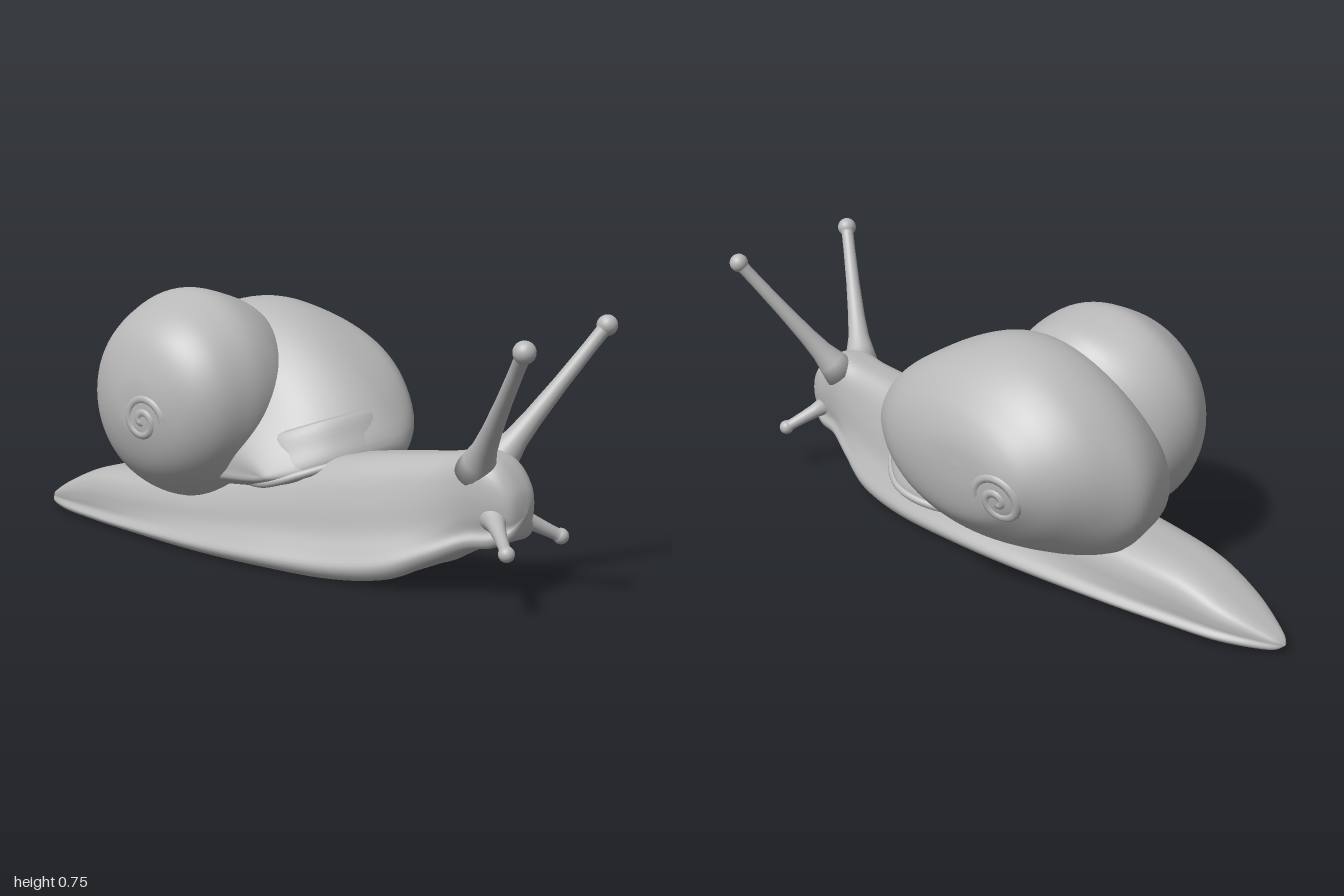
import * as THREE from 'three';

const V = (x, y, z) => new THREE.Vector3(x, y, z);

// Closed smooth skin over equally sized rings of points
function skin(rings) {
  const n = rings[0].length, idx = [];
  const pts = rings.flat();
  for (let i = 0; i < rings.length - 1; i++) {
    for (let j = 0; j < n; j++) {
      const k = (j + 1) % n, a = i * n + j, b = i * n + k, c = a + n, d = b + n;
      idx.push(a, b, c, b, d, c);
    }
  }
  // Turn the faces outward by the sign of the enclosed volume
  let volume = 0;
  for (let i = 0; i < idx.length; i += 3) {
    volume += pts[idx[i]].dot(pts[idx[i + 1]].clone().cross(pts[idx[i + 2]]));
  }
  if (volume < 0) idx.reverse();
  const g = new THREE.BufferGeometry().setFromPoints(pts);
  g.setIndex(idx);
  g.computeVertexNormals();
  return g;
}

// Smoothly interpolate a table of rows, column by column
function smoothRows(rows, steps) {
  const out = Array.from({ length: steps + 1 }, () => []);
  for (let c = 0; c < rows[0].length; c++) {
    const curve = new THREE.SplineCurve(rows.map((r, i) => new THREE.Vector2(i, r[c])));
    for (let i = 0; i <= steps; i++) out[i].push(curve.getPoint(i / steps).y);
  }
  return out;
}

// Shell lobe: the unit outline at each x, scaled to the row [x, zMin, zMax, yMin, yMax]
function lobe(rows, outlineAt) {
  return skin(smoothRows(rows, 72).map(([x, z0, z1, y0, y1]) =>
    outlineAt(x).map((p) => V(x, y0 + (y1 - y0) * p.y, z0 + (z1 - z0) * p.x))));
}

// Body ring from [z, centreX, footHalf, bodyHalf, bottom, rimY, top]
function bodyRing([z, cx, f, m, b, e, t]) {
  const h = t - e;
  const half = [
    [0.45 * f, b], [0.85 * f, b], [f, b + 0.45 * (e - b)], [0.9 * f, e],
    [0.5 * m + 0.46 * f, e + 0.2 * h], [0.8 * m + 0.18 * f, e + 0.5 * h],
    [0.86 * m, e + 0.8 * h], [0.5 * m, e + 0.97 * h],
  ];
  const pts = [[0, b], ...half, [0, t], ...half.map(([x, y]) => [-x, y]).reverse()];
  const curve = new THREE.CatmullRomCurve3(pts.map(([x, y]) => V(cx + x, y, z)), true, 'catmullrom', 0.5);
  return curve.getPoints(72).slice(0, 72);
}

// Flared stalk with a ball tip, lathed along the line from base to tip
function stalk(base, tip, r0, r1, ball) {
  const dir = tip.clone().sub(base), len = dir.length();
  const prof = [[0, 0], [r0, 0.02], [r0 * 0.8, 0.12], [r0 * 0.6, 0.22], [r0 * 0.4 + r1 * 0.25, 0.36], [r1 * 1.12, 0.6], [r1, 0.84]]
    .map(([r, t]) => new THREE.Vector2(r, t * len));
  const start = Math.asin(Math.min(0.9, r1 / ball));
  for (let i = 0; i <= 10; i++) {
    const a = Math.PI - start + (start - Math.PI) * i / 10;
    prof.push(new THREE.Vector2(Math.max(0, ball * Math.sin(a)), len + ball * Math.cos(a)));
  }
  const g = new THREE.LatheGeometry(prof, 24);
  g.applyQuaternion(new THREE.Quaternion().setFromUnitVectors(V(0, 1, 0), dir.normalize()));
  return g.translate(base.x, base.y, base.z);
}

export function createModel() {
  const group = new THREE.Group();
  const grey = new THREE.MeshStandardMaterial({ color: 0xb8b8b8, side: THREE.DoubleSide });
  grey.name = 'plain grey';
  const add = (name, geometry) => {
    const mesh = new THREE.Mesh(geometry, grey);
    mesh.name = name;
    group.add(mesh);
    return mesh;
  };

  // Foot, neck and head
  add('body', skin(smoothRows([
    [-1.0, -0.045, 0, 0, 0.025, 0.025, 0.025],
    [-0.97, -0.045, 0.035, 0.03, 0.012, 0.03, 0.05],
    [-0.85, -0.045, 0.095, 0.085, 0.01, 0.04, 0.11],
    [-0.7, -0.05, 0.13, 0.115, 0.01, 0.045, 0.165],
    [-0.5, -0.055, 0.165, 0.135, 0.01, 0.05, 0.19],
    [-0.2, -0.06, 0.195, 0.14, 0.005, 0.06, 0.22],
    [0.05, -0.06, 0.205, 0.135, 0.005, 0.07, 0.28],
    [0.3, -0.055, 0.19, 0.12, 0.006, 0.08, 0.33],
    [0.48, -0.053, 0.165, 0.1, 0.03, 0.105, 0.355],
    [0.6, -0.05, 0.125, 0.09, 0.085, 0.145, 0.37],
    [0.69, -0.045, 0.09, 0.09, 0.13, 0.18, 0.388],
    [0.76, -0.04, 0.075, 0.084, 0.145, 0.19, 0.365],
    [0.81, -0.04, 0.05, 0.055, 0.175, 0.205, 0.3],
    [0.825, -0.04, 0, 0, 0.235, 0.235, 0.235],
  ], 130).map(bodyRing)));

  // Unit circle, starting at the front and turning upward
  const circle = Array.from({ length: 80 }, (_, i) => {
    const a = i / 40 * Math.PI;
    return new THREE.Vector2(0.5 + 0.5 * Math.cos(a), 0.5 + 0.5 * Math.sin(a));
  });

  // Large shell whorl: long in front where it opens, turning round toward its side
  const sideOutline = new THREE.CatmullRomCurve3([
    [0.32, 0.32], [0.27, 0.43], [0.15, 0.56], [0, 0.66], [-0.15, 0.71], [-0.3, 0.7],
    [-0.45, 0.63], [-0.57, 0.51], [-0.62, 0.38], [-0.6, 0.26], [-0.52, 0.175], [-0.35, 0.16],
    [-0.15, 0.175], [0.1, 0.205], [0.25, 0.25],
  ].map(([z, y]) => V((z + 0.62) / 0.94, (y - 0.16) / 0.55, 0)), true).getSpacedPoints(80).slice(0, 80);
  const largeOutline = (x) => {
    const w = THREE.MathUtils.smoothstep(x, 0.08, 0.36);
    return sideOutline.map((p, i) => new THREE.Vector2(p.x, p.y).lerp(circle[i], w));
  };
  const large = add('largeWhorl', lobe([
    [-0.235, -0.1, 0.06, 0.26, 0.26],
    [-0.23, -0.2, 0.1, 0.23, 0.32],
    [-0.18, -0.42, 0.18, 0.2, 0.44],
    [-0.1, -0.55, 0.25, 0.17, 0.59],
    [0.0, -0.605, 0.3, 0.165, 0.682],
    [0.1, -0.625, 0.315, 0.16, 0.71],
    [0.2, -0.59, 0.27, 0.16, 0.7],
    [0.28, -0.53, 0.19, 0.185, 0.655],
    [0.34, -0.46, 0.1, 0.24, 0.59],
    [0.37, -0.41, 0.01, 0.29, 0.54],
    [0.386, -0.34, -0.09, 0.36, 0.49],
    [0.39, -0.22, -0.22, 0.43, 0.43],
  ], largeOutline));

  // Small shell whorl: a round dome on the other side
  const small = add('smallWhorl', lobe([
    [-0.393, -0.27, -0.27, 0.44, 0.44],
    [-0.388, -0.34, -0.18, 0.36, 0.52],
    [-0.355, -0.43, -0.08, 0.27, 0.62],
    [-0.3, -0.51, -0.015, 0.205, 0.685],
    [-0.22, -0.56, 0.02, 0.16, 0.73],
    [-0.15, -0.57, 0.032, 0.15, 0.752],
    [-0.07, -0.545, 0.025, 0.16, 0.735],
    [0.0, -0.48, -0.02, 0.21, 0.705],
    [0.03, -0.4, -0.12, 0.3, 0.65],
    [0.04, -0.27, -0.27, 0.45, 0.45],
  ], () => circle));

  // Flared lip along the shell opening, with a skirt running up into the whorl
  const lipPath = new THREE.CatmullRomCurve3([
    V(-0.16, 0.22, -0.05), V(-0.215, 0.24, 0.09), V(-0.13, 0.29, 0.23), V(0.03, 0.315, 0.3),
    V(0.17, 0.265, 0.26), V(0.26, 0.21, 0.15), V(0.25, 0.185, 0.02), V(0.17, 0.18, -0.1), V(0.06, 0.19, -0.18),
  ]);
  add('shellLip', new THREE.TubeGeometry(lipPath, 80, 0.012, 10));
  const hub = V(0.03, 0.25, 0.0);
  add('shellSkirt', skin(lipPath.getPoints(80).map((p) => {
    const top = p.clone().lerp(hub, 0.18);
    top.y += 0.13;
    const side = p.clone().lerp(top, 0.5).lerp(hub, -0.03);
    return new THREE.CatmullRomCurve3([p, side, top, p.clone().lerp(hub, 0.5)], true).getPoints(20).slice(0, 20);
  })));

  // Low spiral ridges laid onto the side of each whorl
  const ray = new THREE.Raycaster();
  const spiral = (name, mesh, side, y, z, size) => {
    const pts = [];
    for (let i = 0; i <= 36; i++) {
      const a = i / 36 * Math.PI * 3.5, r = size * (1 - i / 38);
      ray.set(V(side, y + r * Math.sin(a), z + r * Math.cos(a)), V(-side, 0, 0));
      pts.push(ray.intersectObject(mesh)[0].point.add(V(-side * 0.01, 0, 0)));
    }
    add(name, new THREE.TubeGeometry(new THREE.CatmullRomCurve3(pts), 120, 0.015, 8));
  };
  spiral('leftSpiral', large, 1, 0.365, -0.36, 0.075);
  spiral('rightSpiral', small, -1, 0.4, -0.23, 0.07);

  // Eye stalks and the shorter feelers below
  add('rightEyeStalk', stalk(V(-0.08, 0.325, 0.685), V(-0.278, 0.686, 0.968), 0.055, 0.019, 0.029));
  add('leftEyeStalk', stalk(V(-0.005, 0.325, 0.685), V(0.228, 0.7, 0.88), 0.055, 0.019, 0.028));
  add('rightFeeler', stalk(V(-0.08, 0.225, 0.745), V(-0.23, 0.174, 0.895), 0.045, 0.015, 0.021));
  add('leftFeeler', stalk(V(0.0, 0.22, 0.745), V(0.123, 0.146, 0.822), 0.045, 0.017, 0.022));

  return group;
}
